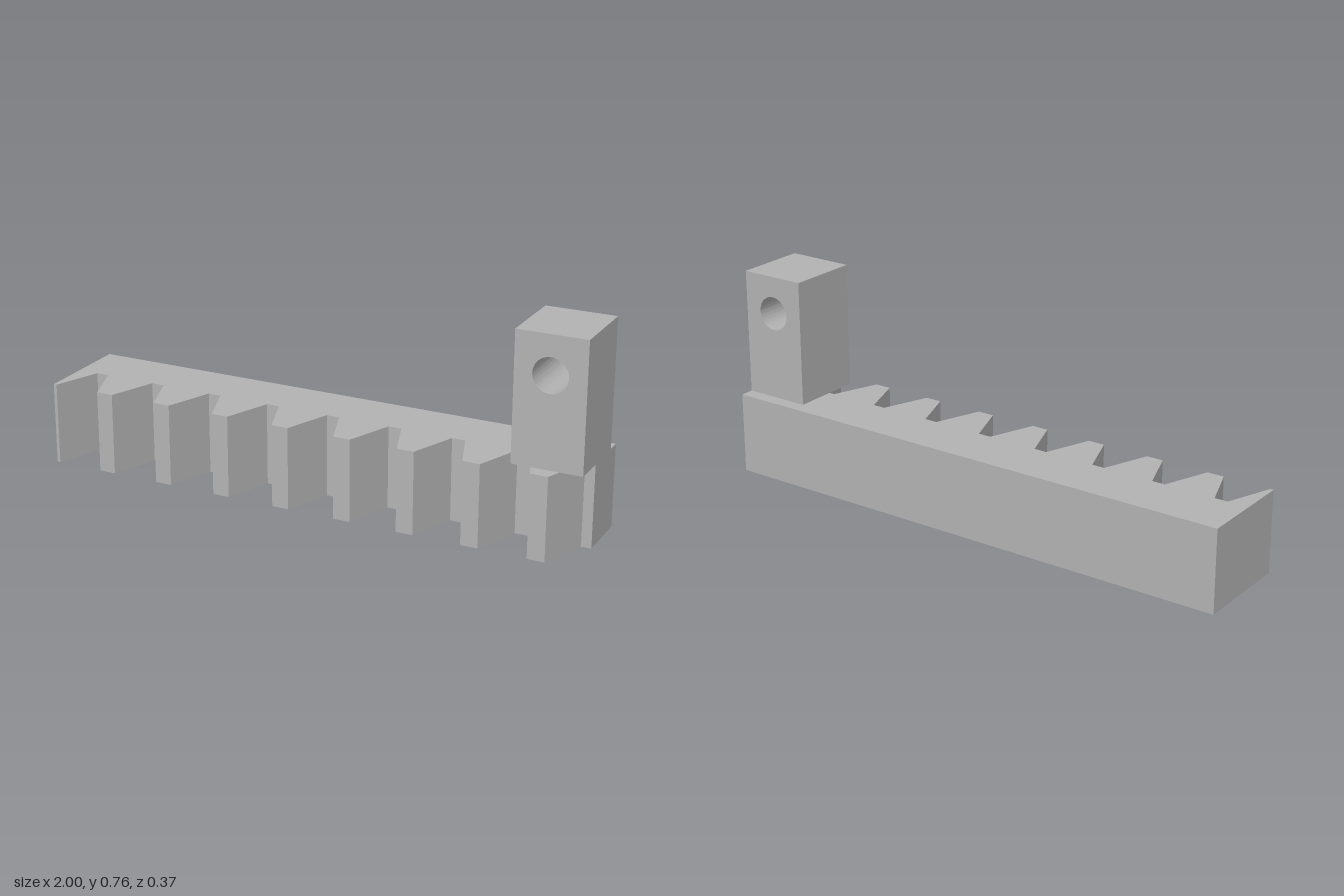
import * as THREE from 'three';
import { toCreasedNormals } from 'three/addons/utils/BufferGeometryUtils.js';

const gray = new THREE.MeshStandardMaterial({ color: 0xb2b2b2 });
gray.name = 'light gray';

function extruded(shape, depth, name) {
  const geo = new THREE.ExtrudeGeometry(shape, { depth, bevelEnabled: false, curveSegments: 32 });
  const mesh = new THREE.Mesh(toCreasedNormals(geo, 0.6), gray);
  mesh.name = name;
  return mesh;
}

// Toothed bar: outline drawn in x and -z, then laid flat
function createRack() {
  const back = 0.185, root = -0.015, tip = -0.185;
  const pitch = 0.236, valleys = 9;
  const s = new THREE.Shape();
  s.moveTo(-1, back);
  s.lineTo(-1, tip);
  for (let i = 0; i < valleys; i++) {
    const x = -0.988 + i * pitch;
    s.lineTo(x, tip);
    s.lineTo(x + 0.064, root);
    if (i < valleys - 1) {
      s.lineTo(x + 0.112, root);
      s.lineTo(x + 0.174, tip);
    }
  }
  s.lineTo(1, root);
  s.lineTo(1, back);
  const rack = extruded(s, 0.302, 'toothedRack');
  rack.rotation.x = -Math.PI / 2;
  return rack;
}

// Upright post with a round through hole
function createPost() {
  const s = new THREE.Shape();
  s.moveTo(0.75, 0.302);
  s.lineTo(1, 0.302);
  s.lineTo(1, 0.765);
  s.lineTo(0.75, 0.765);
  s.closePath();
  const hole = new THREE.Path();
  hole.absarc(0.875, 0.626, 0.062, 0, Math.PI * 2, true);
  s.holes.push(hole);
  const post = extruded(s, 0.268, 'drilledPost');
  post.position.z = -0.134;
  return post;
}

export function createModel() {
  const group = new THREE.Group();
  group.name = 'gearRack';
  group.add(createRack(), createPost());
  return group;
}
